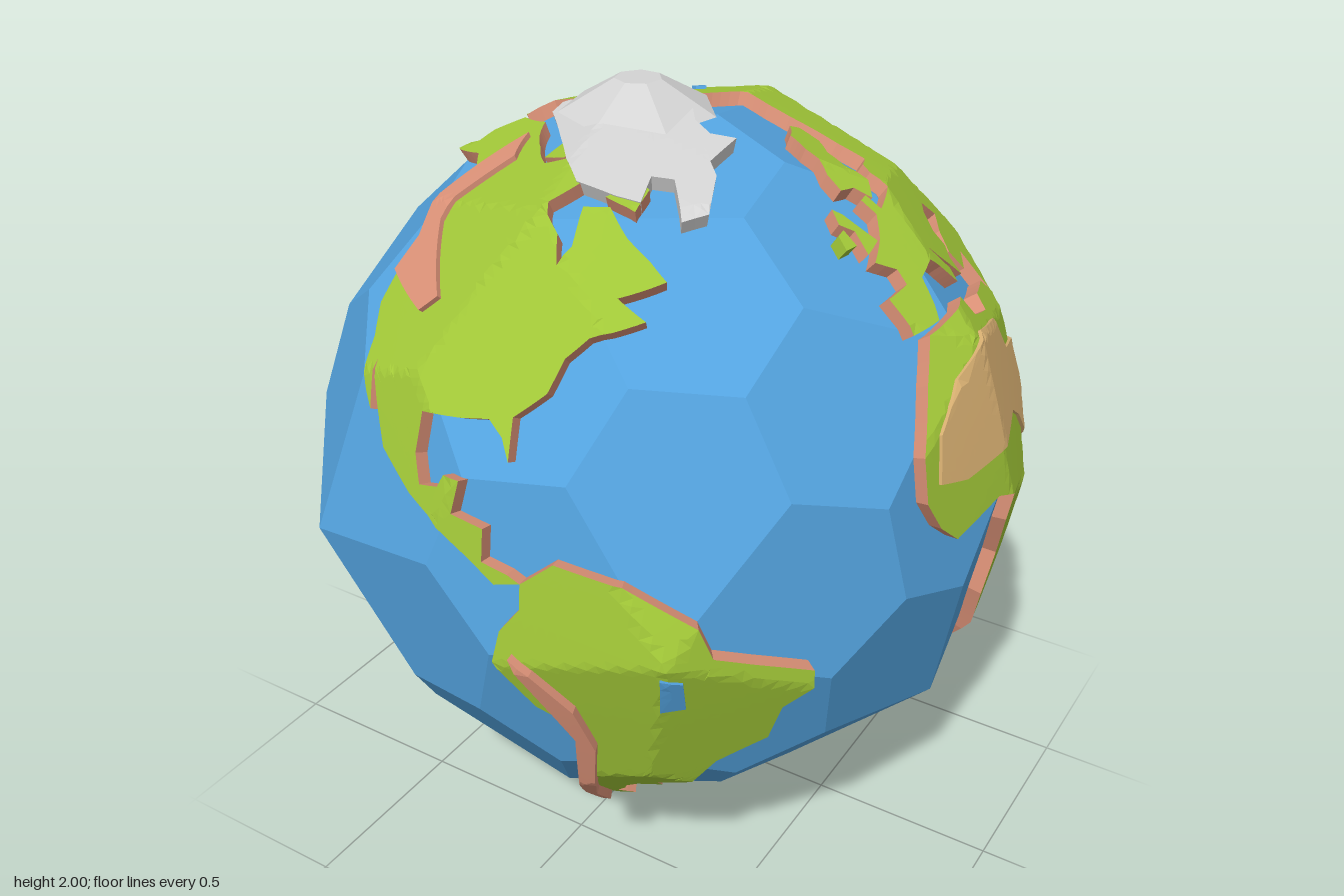
import * as THREE from 'three';
import { ConvexGeometry } from 'three/addons/geometries/ConvexGeometry.js';

const V = (x, y, z) => new THREE.Vector3(x, y, z);
const OCEAN_DEPTH = 0.888; // distance of each ocean facet from the centre
const STEP = 0.04; // longest edge on the land surface

const material = (name, color) => new THREE.MeshStandardMaterial({ name, color, flatShading: true });

// Sixty facet directions: a snub solid whose dual has pentagon facets
function facetNormals() {
  const seed = V(2.2653, 2, 12.674).normalize();
  const axis = V(1, 0, (1 + Math.sqrt(5)) / 2).normalize();
  const out = [];
  for (let k = 0; k < 5; k++) {
    const p = seed.clone().applyAxisAngle(axis, (k * Math.PI * 2) / 5);
    for (const [x, y, z] of [[p.x, p.y, p.z], [p.y, p.z, p.x], [p.z, p.x, p.y]])
      out.push(V(x, y, z), V(-x, -y, z), V(-x, y, -z), V(x, -y, -z));
  }
  return out;
}
const normals = facetNormals();

// Distance from the centre to the faceted ocean in a direction
const oceanRadius = (d) => OCEAN_DEPTH / Math.max(...normals.map((n) => n.dot(d)));

function oceanGeometry() {
  const pos = new ConvexGeometry(normals).getAttribute('position');
  const corners = new Map();
  for (let i = 0; i < pos.count; i += 3) {
    const [a, b, c] = [0, 1, 2].map((j) => V().fromBufferAttribute(pos, i + j));
    const n = b.sub(a).cross(c.sub(a)).normalize();
    const p = n.multiplyScalar(OCEAN_DEPTH / n.dot(a));
    corners.set(p.toArray().map((v) => Math.round(v * 1000)).join(), p);
  }
  return new ConvexGeometry([...corners.values()]);
}

// Outline coordinates to directions: longitude/latitude, and the two poles
const lonLat = (p) => {
  const lon = THREE.MathUtils.degToRad(p.x + 88), lat = THREE.MathUtils.degToRad(p.y);
  return V(Math.cos(lat) * Math.sin(lon), Math.sin(lat), Math.cos(lat) * Math.cos(lon));
};
const polar = (s) => (p) => {
  const x = p.x / 0.94, y = p.y / 0.94;
  return V(x, s * Math.sqrt(1 - x * x - y * y), -s * y);
};

// Plate that follows the ocean facets, with a top and cliff sides
function plate(name, list, top, side, lift = 0.037, toDir = lonLat) {
  const ring = [];
  for (let i = 0; i < list.length; i += 2) ring.push(new THREE.Vector2(list[i], list[i + 1]));
  if (THREE.ShapeUtils.area(ring) < 0) ring.reverse();
  const pos = [];
  const put = (p, h) => {
    const d = toDir(p);
    pos.push(...d.multiplyScalar(oceanRadius(d) + h).toArray());
  };
  const span = (a, b) => toDir(a).distanceTo(toDir(b));
  const mid = (a, b) => a.clone().add(b).multiplyScalar(0.5);
  const fill = (a, b, c) => {
    const ab = span(a, b), bc = span(b, c), ca = span(c, a), m = Math.max(ab, bc, ca);
    if (m < STEP) [a, b, c].forEach((p) => put(p, lift));
    else if (m === ab) { const q = mid(a, b); fill(a, q, c); fill(q, b, c); }
    else if (m === bc) { const q = mid(b, c); fill(a, b, q); fill(a, q, c); }
    else { const q = mid(c, a); fill(a, b, q); fill(q, b, c); }
  };
  const wall = (a, b) => {
    if (span(a, b) >= STEP) { const q = mid(a, b); wall(a, q); wall(q, b); return; }
    for (const [p, h] of [[a, -0.02], [b, -0.02], [b, lift], [a, -0.02], [b, lift], [a, lift]]) put(p, h);
  };
  for (const [i, j, k] of THREE.ShapeUtils.triangulateShape(ring, [])) fill(ring[i], ring[j], ring[k]);
  const topCount = pos.length / 3;
  ring.forEach((p, i) => wall(p, ring[(i + 1) % ring.length]));
  const g = new THREE.BufferGeometry();
  g.setAttribute('position', new THREE.Float32BufferAttribute(pos, 3));
  g.addGroup(0, topCount, 0);
  g.addGroup(topCount, pos.length / 3 - topCount, 1);
  g.computeVertexNormals();
  const mesh = new THREE.Mesh(g, [top, side]);
  mesh.name = name;
  return mesh;
}

const eurasiaNorth = [-9, 37, -9, 43, -2, 43.5, -1, 46, -5, 48.5, 2, 51, 8, 54, 8, 57, 11, 57, 11, 54, 20, 55, 24, 58,
  30, 59, 38, 58, 44, 62, 52, 65, 60, 68, 70, 70, 86, 71, 100, 75, 113, 73, 130, 71.5, 150, 71, 170, 70, 180, 69,
  190, 66, 180, 63, 170, 60, 163, 58, 162, 55, 157, 51, 156, 57, 162, 61, 155, 60, 146, 58, 140, 55, 141, 52, 140, 47,
  133, 42, 128, 39, 129, 36, 126, 35, 125, 40];
const eurasiaSouth = [121, 40, 118, 38, 122, 36, 122, 30, 119, 25, 110, 21, 106, 20, 109, 13, 105, 9, 101, 13, 103, 2,
  101, 3, 98, 10, 98, 16, 94, 16, 91, 22, 87, 21, 80, 15, 80, 10, 77, 8, 73, 17, 72, 21, 67, 25, 57, 26, 56, 27, 51, 29,
  52, 25, 56, 25, 60, 22, 53, 16, 44, 13, 38, 21, 34, 28, 35, 32, 36, 36, 28, 36, 27, 40, 33, 42, 41, 42, 38, 46,
  33, 46, 28, 44, 28, 41, 24, 40, 23, 37, 20, 40, 14, 45, 18, 40, 16, 38, 12, 42, 9, 44, 3, 43, 0, 39, -2, 37];

// Continents with earth cliffs
const land = {
  eurasia: [...eurasiaNorth, ...eurasiaSouth],
  scandinavia: [10, 59, 5, 60, 6, 63, 14, 68, 25, 71, 43, 70.5, 46, 68.5, 37, 66, 25, 65, 18, 62, 17, 58, 12, 56],
  northAmerica: [-168, 66, -156, 71, -128, 70, -110, 68, -95, 71, -84, 68, -88, 60, -86, 58, -82, 56, -80, 52, -78, 55,
    -79, 61, -72, 62, -66, 58, -60, 55, -56, 52, -66, 49, -60, 46, -66, 44, -70, 43, -74, 40, -76, 35, -81, 31, -80, 25,
    -82, 28, -85, 30, -90, 29, -97, 28, -97, 22, -95, 18, -91, 19, -90, 21, -87, 21, -88, 16, -83, 15, -83, 10, -79, 9,
    -77, 8, -81, 7, -85, 10, -92, 14.5, -97, 16, -105, 20, -109, 26, -112, 31, -110, 24, -112, 26, -115, 30, -117, 33,
    -122, 37, -124, 42, -124, 48, -132, 56, -140, 60, -150, 60, -158, 56, -166, 53.5, -162, 57, -160, 59, -165, 61],
  southAmerica: [-77, 8, -72, 12, -62, 10.5, -52, 5, -50, 0, -44, -2.5, -35, -6, -35, -9, -39, -13, -40, -21, -48, -26,
    -53, -33, -58, -35, -57, -38, -62, -39, -65, -43, -66, -47, -69, -52, -65, -55, -70, -55, -75, -50, -73, -40,
    -71, -30, -70, -18, -76, -14, -81, -5, -80, 0, -77, 4],
  africa: [-6, 36, 10, 37, 11, 33.5, 20, 31, 23, 33, 33, 31, 37, 22, 43, 12, 51, 12, 48, 5, 40, -3, 40, -15, 35, -20,
    35, -24, 32, -28, 27, -34, 19, -35, 15, -27, 12, -17, 13, -9, 9, 0, 9, 5, 4, 7, -8, 5.5, -12, 9, -15, 14, -15, 21, -10, 30],
  australia: [116, -22, 124, -18, 132, -12, 138, -12, 138, -16, 142, -17, 144, -11, 148, -19, 155, -26, 152, -37,
    146, -38, 140, -35, 133, -31, 126, -33, 118, -35, 117, -30],
  newGuinea: [136, -1, 140, -3.5, 146, -2, 156, -9, 150, -8, 143, -8, 138, -5],
  borneo: [109, 1, 115, -4, 119, 5, 116, 7],
  sumatra: [95, 5, 104, -3, 106, -6, 102, -4],
  britain: [-5, 50, 1, 51, 0, 53, -2, 57, -4, 58.5, -6, 56, -3, 54],
  baffin: [-65, 62, -62, 67, -72, 71, -85, 73, -80, 69.5, -72, 66, -75, 64],
  victoria: [-115, 69, -103, 70, -105, 73, -118, 73],
};
// Small islands, green all over
const islands = {
  northNewZealand: [173, -34, 179, -37.5, 176, -41.5, 173, -39],
  southNewZealand: [173, -40.5, 175, -42, 170, -47, 167, -45.5],
  java: [105, -6.5, 115, -8, 114, -9, 106, -8],
  timor: [118, -8, 127, -8.5, 124, -10, 119, -9.5],
  sulawesi: [119, -5, 121, -5, 121, 0, 125, 1.5, 120, 1],
  northPhilippines: [120, 18, 122, 18, 124, 13, 121, 13],
  southPhilippines: [122, 10, 126, 10, 126, 6, 123, 7],
  sakhalin: [142.5, 46, 145, 49, 144, 54, 142.5, 53],
  westAleutians: [176, 51.5, 181, 51, 181, 53, 176, 53.5],
  eastAleutians: [-177, 51, -172, 52, -172, 54, -177, 53],
  ireland: [-10, 52, -6, 52, -6, 55, -9, 54.5],
};
const desert = {
  westDesert: [-12, 16, -11, 23, -5, 29, 5, 32.5, 18, 30, 25, 22, 19, 14, 8, 14, -5, 14],
  eastDesert: [25, 22, 38, 18, 42, 5, 32, 1, 25, 10, 19, 14],
};
// Highlands: outline and height
const highland = {
  asianPlateau: [[112, 43, 101, 41, 93, 42, 88, 45, 82, 46, 80, 42, 89, 33, 91, 25, 103, 22], 0.058],
  eastAsianHills: [[124, 41, 127, 43, 134, 47, 139, 46.5, 133, 42.3, 128, 39.5, 126, 39.5], 0.048],
  westernMountains: [[-145, 69, -128, 66, -121, 52, -105, 43, -108, 40, -123.5, 42, -124, 48, -136, 60], 0.05],
  southernRange: [[-78, -3, -75, -5, -69.5, -12, -67, -21, -68.5, -33, -71.5, -45, -71, -53, -73, -52, -73, -42,
    -71, -31, -70, -19, -74, -11], 0.06],
  outback: [[120, -23, 130, -18, 139, -20, 143, -25, 140, -31, 132, -29, 122, -31], 0.048],
};
const lakes = {
  southernLake: [-57, -9, -53.5, -9, -54, -3, -57, -2],
  northernLake: [110, 64, 114, 65.5, 112, 66.5, 108, 66],
};
// Polar outlines around each pole
const northIce = [-0.29, -0.07, -0.27, 0.11, -0.15, 0.2, -0.05, 0.18, 0.03, 0.06, 0.1, -0.03, 0.16, -0.06, 0.22, -0.04,
  0.22, -0.16, 0.26, -0.2, 0.31, -0.32, 0.27, -0.37, 0.19, -0.27, 0.14, -0.29, 0.17, -0.38, 0.11, -0.39, 0.01, -0.39,
  -0.07, -0.32, -0.17, -0.21];
const southIce = [0.2, 0.28, 0.24, 0.36, 0.18, 0.35, 0.08, 0.2, -0.07, 0.22, -0.19, 0.15, -0.3, 0.02, -0.27, -0.15,
  -0.17, -0.28, 0.03, -0.36, 0.18, -0.33, 0.29, -0.2, 0.32, 0, 0.27, 0.1, 0.16, 0.18];

export function createModel() {
  const ocean = material('ocean blue', 0x54a4e0);
  const grass = material('grass green', 0xa2c838);
  const earth = material('earth coral', 0xdc9278);
  const sand = material('sand', 0xe0b676);
  const ice = material('ice grey', 0xd4d4d4);

  const globe = new THREE.Group();
  globe.name = 'globe';
  globe.position.set(-0.02, 1, 0.01);
  const add = (name, geometry, mat, y) => {
    const mesh = new THREE.Mesh(geometry, mat);
    mesh.name = name;
    mesh.position.y = y;
    globe.add(mesh);
    return mesh;
  };

  add('oceanSphere', oceanGeometry(), ocean, 0);
  for (const [n, p] of Object.entries(land)) globe.add(plate(n, p, grass, earth));
  for (const [n, p] of Object.entries(islands)) globe.add(plate(n, p, grass, grass));
  for (const [n, p] of Object.entries(desert)) globe.add(plate(n, p, sand, sand, 0.046));
  for (const [n, [p, h]] of Object.entries(highland)) globe.add(plate(n, p, earth, earth, h));
  for (const [n, p] of Object.entries(lakes)) globe.add(plate(n, p, ocean, ocean, 0.045));

  // Northern ice with a low blunt peak
  globe.add(plate('northIce', northIce, ice, ice, 0.04, polar(1)));
  const peak = add('northPeak', new THREE.CylinderGeometry(0.06, 0.2, 0.08, 7), ice, 0.96);
  peak.position.x = -0.08;

  // Southern ice in shrinking steps
  globe.add(plate('southIce', southIce, ice, ice, 0.03, polar(-1)));
  globe.add(plate('southShelf', southIce.map((v) => v * 0.62), ice, ice, 0.055, polar(-1)));
  add('southPeak', new THREE.CylinderGeometry(0.18, 0.09, 0.06, 7), ice, -0.97);

  const model = new THREE.Group();
  model.name = 'lowPolyGlobe';
  model.add(globe);
  return model;
}
